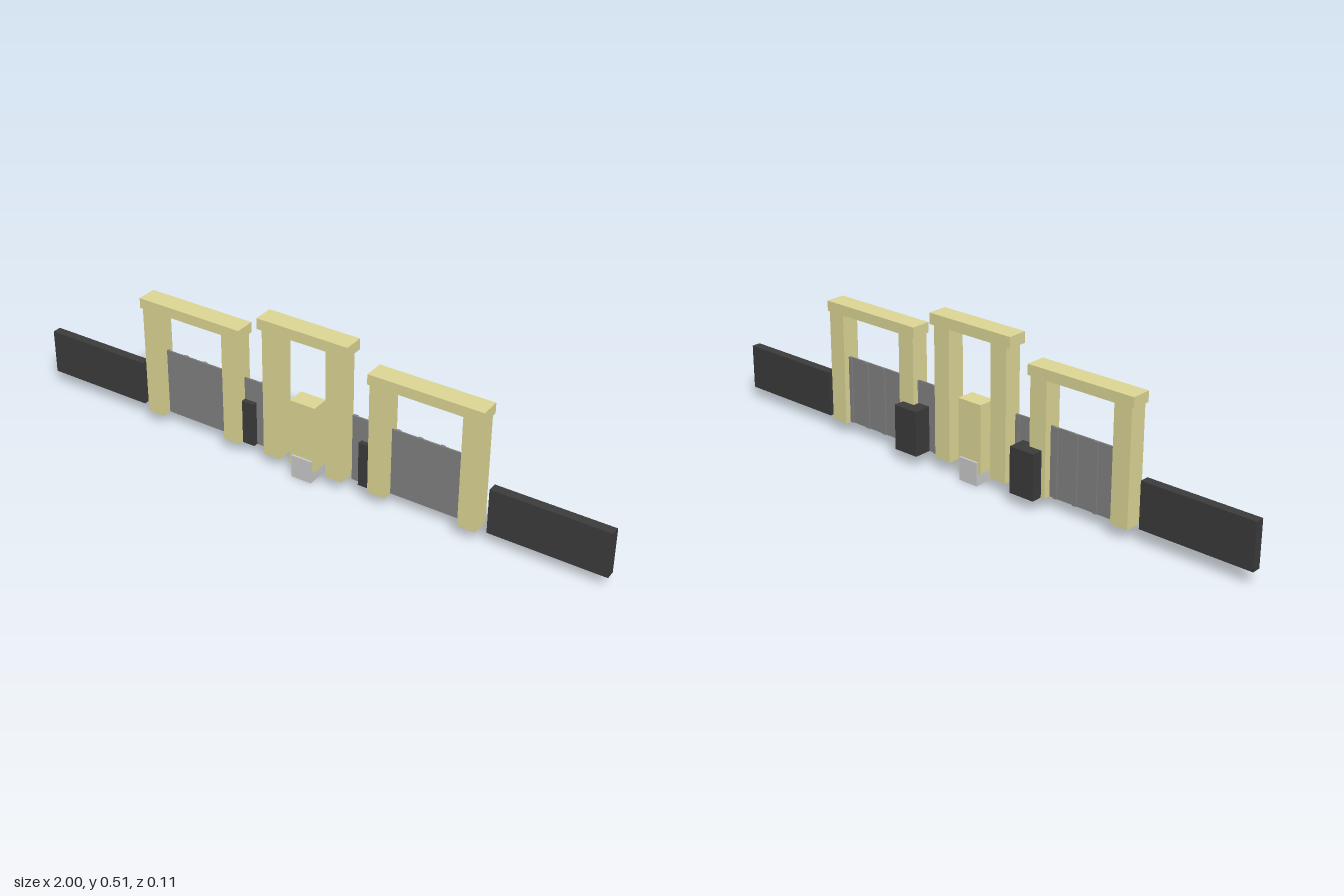
import * as THREE from 'three';

const material = (color) => new THREE.MeshStandardMaterial({ color });

export function createModel() {
  const model = new THREE.Group();
  const stone = material(0xdfd896);
  const dark = material(0x3c3c3c);
  const panelGrey = material(0x828282);
  const plain = material(0xcccccc);

  // Box given by its extents on each axis
  const box = (parent, name, mat, [x0, x1], [y0, y1], [z0, z1]) => {
    const mesh = new THREE.Mesh(new THREE.BoxGeometry(x1 - x0, y1 - y0, z1 - z0), mat);
    mesh.position.set((x0 + x1) / 2, (y0 + y1) / 2, (z0 + z1) / 2);
    mesh.name = name;
    parent.add(mesh);
  };

  const base = 0.04;
  const postZ = [-0.015, 0.046];
  const lintelZ = [-0.018, 0.049];

  // Gateways: two square posts under a slightly wider lintel
  const gateway = (name, centre, width, postTop, lintelTop, overhang) => {
    const gate = new THREE.Group();
    gate.name = name;
    for (const side of [-1, 1]) {
      const x = centre + side * (width / 2 - 0.03);
      box(gate, 'post', stone, [x - 0.03, x + 0.03], [base, postTop], postZ);
    }
    const half = width / 2 + overhang;
    box(gate, 'lintel', stone, [centre - half, centre + half], [postTop, lintelTop], lintelZ);
    model.add(gate);
  };
  gateway('rightGateway', -0.416, 0.36, 0.412, 0.446, 0.008);
  gateway('centreGateway', -0.002, 0.285, 0.474, 0.51, 0.016);
  gateway('leftGateway', 0.413, 0.365, 0.412, 0.446, 0.006);

  // Sliding gates: thin sheet with upright battens on the back
  const slidingGate = (name, x0, x1) => {
    const gate = new THREE.Group();
    gate.name = name;
    box(gate, 'sheet', panelGrey, [x0, x1], [base, 0.266], [0.008, 0.013]);
    const count = 6;
    const pitch = (x1 - x0 - 0.014) / (count - 1);
    for (let i = 0; i < count; i++) {
      const x = x0 + i * pitch;
      box(gate, 'batten', panelGrey, [x, x + 0.014], [base, 0.266], [0.004, 0.008]);
    }
    model.add(gate);
  };
  slidingGate('rightSlidingGate', -0.543, -0.165);
  slidingGate('leftSlidingGate', 0.155, 0.537);

  // Dark cabinets standing through the inner posts
  box(model, 'rightCabinet', dark, [-0.282, -0.193], [base, 0.19], [-0.052, 0.029]);
  box(model, 'leftCabinet', dark, [0.187, 0.276], [base, 0.19], [-0.052, 0.029]);

  // Low outer walls
  box(model, 'rightWall', dark, [-1, -0.625], [0.048, 0.198], [0, 0.03]);
  box(model, 'leftWall', dark, [0.622, 1], [base, 0.19], [-0.003, 0.028]);

  // Central pillar with its footing block
  box(model, 'centrePillar', stone, [-0.046, 0.043], [base, 0.266], postZ);
  box(model, 'footingBlock', plain, [-0.037, 0.034], [0, 0.077], [-0.022, 0.053]);

  return model;
}
